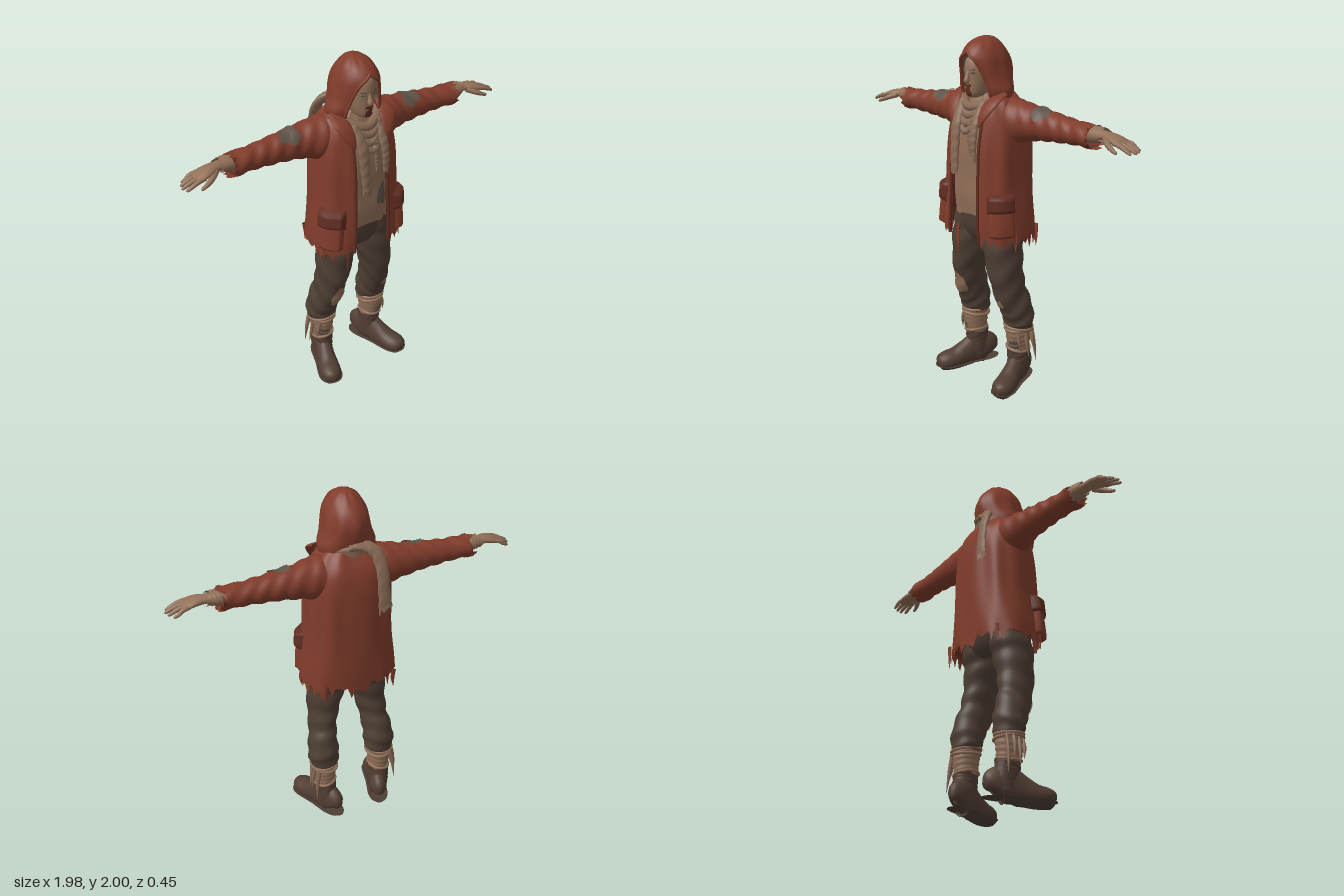
import * as THREE from 'three';
import { mergeVertices } from 'three/addons/utils/BufferGeometryUtils.js';

const V3 = THREE.Vector3, clamp = THREE.MathUtils.clamp, TAU = Math.PI * 2;
const X = new V3(1, 0, 0), Z = new V3(0, 0, 1);
let seed = 7;
const rnd = () => (seed = (seed * 16807) % 2147483647) / 2147483647;

const mat = (name, color) => {
  const m = new THREE.MeshStandardMaterial({ color, side: THREE.DoubleSide });
  m.name = name;
  return m;
};

// Smooth interpolation through rows of numbers
function at(rows, u) {
  const last = rows.length - 1, s = clamp(u, 0, 1) * last, i = Math.min(Math.floor(s), last - 1), f = s - i;
  const g = k => rows[clamp(k, 0, last)];
  return rows[0].map((_, c) => {
    const p = g(i - 1)[c], q = g(i)[c], r = g(i + 1)[c], w = g(i + 2)[c];
    return q + 0.5 * f * (r - p + f * (2 * p - 5 * q + 4 * r - w + f * (3 * (q - r) + w - p)));
  });
}

// Limb surface: rows are [x, y, z, radius along side, radius across]
const limb = (rows, side = X, wrinkle = 0) => (u, t, off = 0) => {
  const [x, y, z, ru, rv] = at(rows, u);
  const T = new V3(...at(rows, u + 0.01)).sub(new V3(...at(rows, u - 0.01))).normalize();
  const v = new V3().crossVectors(side, T).normalize(), s = new V3().crossVectors(T, v);
  const d = off + wrinkle * Math.sin(u * 42 + 2.5 * Math.sin(t + 1) + Math.cos(2 * t));
  return new V3(x, y, z)
    .addScaledVector(s, Math.max(ru + d, 0.001) * Math.sin(t))
    .addScaledVector(v, Math.max(rv + d, 0.001) * Math.cos(t));
};

// Upright surface: rows are [y, half width, front z, back z, half opening]; t = 0 faces front
const shell = (rows, p = 1, fold = 0) => (u, t, off = 0) => {
  const [y, rx, zf, zb] = at(rows, u), s = Math.sin(t), c = Math.cos(t);
  const d = off + fold * Math.sin(9 * t + 3 * u) * Math.sin(2 + 7 * u);
  return new V3((rx + d) * Math.sign(s) * Math.abs(s) ** p, y,
    (zf + zb) / 2 + ((zf - zb) / 2 + d) * Math.sign(c) * Math.abs(c) ** p);
};
const opening = (rows, p) => u => {
  const r = at(rows, u);
  return Math.asin(clamp(r[4] / r[1], 0, 0.95) ** (1 / p));
};

function skin(rings) {
  const w = rings[0].length, index = [];
  for (let i = 0; i < rings.length - 1; i++) for (let j = 0; j < w - 1; j++) {
    const a = i * w + j, d = a + w;
    index.push(a, a + 1, d + 1, a, d + 1, d);
  }
  let g = new THREE.BufferGeometry().setFromPoints(rings.flat());
  g.setIndex(index);
  g = mergeVertices(g, 1e-5);
  g.computeVertexNormals();
  return g;
}

// Samples a surface; rag(point, i, random) can fray or flatten it
function grid(f, { n = 24, seg = 24, a = 0, b = 1, t0 = () => 0, t1 = u => TAU - t0(u), off = () => 0, rag } = {}) {
  const noise = Array.from({ length: seg }, rnd);
  return skin(Array.from({ length: n + 1 }, (_, i) => Array.from({ length: seg + 1 }, (_, j) => {
    const u = a + (b - a) * i / n, k = j / seg;
    const p = f(u, t0(u) + (t1(u) - t0(u)) * k, off(i / n, k));
    if (rag) rag(p, i, noise[j % seg]);
    return p;
  })));
}

// Irregular patch lying just over a surface
const blob = (f, u, t, du, dt, off = 0.005) => skin([0.01, 0.35, 0.7, 1].map(r =>
  Array.from({ length: 25 }, (_, j) => {
    const a = j / 24 * TAU, k = r * (1 + 0.14 * Math.sin(3 * a + 1) + 0.1 * Math.sin(5 * a));
    return f(u + du * k * Math.cos(a), t + dt * k * Math.sin(a), off);
  })));

const tube = (pts, r, closed = false) =>
  new THREE.TubeGeometry(new THREE.CatmullRomCurve3(pts, closed), 48, r, 8, closed);

export function createModel() {
  seed = 7;
  const model = new THREE.Group();
  const coatRed = mat('coat red', 0x803c2b), darkRed = mat('dark red', 0x612d21),
    shirtTan = mat('shirt tan', 0x8f6e57), skinTone = mat('skin', 0x917058), scarfTan = mat('scarf tan', 0x876954),
    trouserBrown = mat('trouser brown', 0x4d3e33), bootBrown = mat('boot brown', 0x523e33),
    patchGrey = mat('patch grey', 0x5f5349), liningBrown = mat('lining brown', 0x69533f);

  const add = (name, geo, m) => {
    const mesh = new THREE.Mesh(geo, m);
    mesh.name = name;
    model.add(mesh);
  };
  const pair = (name, geo, m) => {
    add(name + 'Left', geo, m);
    const g = geo.clone().scale(-1, 1, 1), ix = g.index.array;
    for (let i = 0; i < ix.length; i += 3) [ix[i], ix[i + 1]] = [ix[i + 1], ix[i]];
    add(name + 'Right', g, m);
  };

  // Coat with open front and torn hem
  const coatRows = [[0.92, 0.268, 0.2, -0.19, 0.115], [1.02, 0.262, 0.203, -0.192, 0.11], [1.2, 0.243, 0.195, -0.19, 0.105],
    [1.4, 0.236, 0.183, -0.187, 0.1], [1.52, 0.228, 0.168, -0.18, 0.1], [1.61, 0.207, 0.148, -0.162, 0.1],
    [1.68, 0.165, 0.115, -0.12, 0.1], [1.73, 0.1, 0.08, -0.08, 0.09]];
  const coat = shell(coatRows, 0.75, 0.005), coatEdge = opening(coatRows, 0.75);
  add('coat', grid(coat, { n: 32, seg: 80, t0: coatEdge,
    rag: (p, i, k) => { if (i === 0) p.y += 0.02 - 0.085 * k * k; } }), coatRed);
  add('coatLining', grid(coat, { n: 24, seg: 60, a: 0.02, b: 0.85, t0: coatEdge, off: () => -0.012 }), darkRed);
  const steps = Array.from({ length: 20 }, (_, i) => i / 19);
  pair('coatPlacket', tube(steps.map(k => coat(k * 0.85, coatEdge(k * 0.85))), 0.009), darkRed);

  // Pockets with flaps, and collar points
  const puff = d => (i, j) => d * Math.min(1, 8 * Math.min(i, 1 - i, j, 1 - j)) - 0.006;
  pair('pocket', grid(coat, { n: 16, seg: 16, a: 0.05, b: 0.26, t0: () => 0.6, t1: () => 1.4, off: puff(0.03) }), coatRed);
  pair('pocketFlap', grid(coat, { n: 10, seg: 16, a: 0.2, b: 0.28, t0: () => 0.56, t1: () => 1.44, off: puff(0.042),
    rag: (p, i, k) => { if (i === 0) p.y -= 0.015 * k; } }), darkRed);
  pair('collarFlap', grid(limb([[0.15, 1.71, 0.04, 0.03, 0.012], [0.14, 1.67, 0.12, 0.045, 0.012],
    [0.115, 1.6, 0.165, 0.03, 0.01], [0.1, 1.54, 0.178, 0.002, 0.002]]), { n: 14, seg: 14 }), coatRed);

  // Sleeves with elbow patches and frayed ends
  const sleeve = limb([[0.1, 1.57, -0.015, 0.11, 0.11], [0.2, 1.565, -0.025, 0.105, 0.115], [0.3, 1.567, -0.035, 0.085, 0.094],
    [0.4, 1.568, -0.035, 0.076, 0.08], [0.5, 1.566, -0.035, 0.068, 0.07], [0.6, 1.564, -0.033, 0.066, 0.061],
    [0.71, 1.563, -0.03, 0.074, 0.06]], Z, 0.0035);
  pair('sleeve', grid(sleeve, { n: 44, seg: 32, rag: (p, i, k) => { if (i === 44) p.x += 0.05 * k - 0.02; } }), coatRed);
  pair('sleevePatch', blob(sleeve, 0.47, 0.45, 0.085, 0.75, 0.006), patchGrey);
  pair('sleeveLining', grid(sleeve, { n: 6, seg: 24, a: 0.85, off: () => -0.008 }), darkRed);

  // Wrist wraps and hands
  pair('wristWrap', grid(limb([[0.66, 1.572, -0.033, 0.045, 0.04], [0.72, 1.577, -0.035, 0.05, 0.042],
    [0.77, 1.58, -0.033, 0.044, 0.035]], Z, 0.003),
  { n: 12, rag: (p, i, k) => { if (i === 12) p.x += 0.03 * k - 0.01; } }), shirtTan);
  pair('palm', grid(limb([[0.72, 1.58, -0.033, 0.034, 0.026], [0.79, 1.58, -0.03, 0.034, 0.023], [0.83, 1.578, -0.024, 0.045, 0.023],
    [0.87, 1.57, -0.02, 0.052, 0.019], [0.905, 1.558, -0.018, 0.045, 0.012], [0.912, 1.555, -0.018, 0.002, 0.002]], Z), {}), skinTone);
  [[-0.058, 0.955], [-0.03, 0.975], [-0.003, 0.983], [0.023, 0.972]].forEach(([z, tip], i) =>
    pair('finger' + (i + 1), grid(limb([[0.87, 1.568, z, 0.013, 0.012], [0.91, 1.56, z * 1.1, 0.012, 0.012],
      [tip - 0.025, 1.545, z * 1.15, 0.011, 0.01], [tip, 1.533, z * 1.15, 0.007, 0.007], [tip + 0.004, 1.53, z * 1.15, 0.001, 0.001]], Z),
    { n: 12, seg: 10 }), skinTone));
  pair('thumb', grid(limb([[0.8, 1.572, 0, 0.016, 0.016], [0.84, 1.557, 0.03, 0.016, 0.015],
    [0.875, 1.542, 0.045, 0.012, 0.012], [0.905, 1.53, 0.05, 0.008, 0.008], [0.91, 1.528, 0.05, 0.001, 0.001]], Z), { n: 12, seg: 10 }), skinTone);

  // Shirt with stain, waist
  const shirt = shell([[1.04, 0.2, 0.15, -0.15], [1.14, 0.2, 0.158, -0.15], [1.25, 0.195, 0.155, -0.15], [1.4, 0.195, 0.158, -0.15],
    [1.55, 0.17, 0.14, -0.13], [1.66, 0.11, 0.1, -0.09], [1.72, 0.06, 0.08, -0.05]], 0.8, 0.004);
  add('shirt', grid(shirt, { n: 28, seg: 48, rag: (p, i, k) => { if (i === 0) p.y += 0.03 * k - 0.02; } }), shirtTan);
  add('shirtStain', blob(shirt, 0.26, 0.38, 0.1, 0.16), patchGrey);
  add('trouserWaist', grid(shell([[0.86, 0.05, 0.06, -0.06], [0.9, 0.15, 0.11, -0.11], [0.98, 0.205, 0.138, -0.14],
    [1.1, 0.195, 0.142, -0.14]], 0.9), { n: 14, seg: 32 }), trouserBrown);

  // Trouser legs with knee patches
  const leg = limb([[0.178, 0.355, -0.058, 0.07, 0.07], [0.178, 0.4, -0.06, 0.09, 0.082], [0.176, 0.48, -0.045, 0.086, 0.094],
    [0.163, 0.58, -0.008, 0.078, 0.1], [0.148, 0.7, 0.015, 0.088, 0.107], [0.127, 0.84, 0.018, 0.108, 0.115],
    [0.112, 0.95, 0.005, 0.11, 0.125], [0.1, 1.06, 0, 0.1, 0.13]], X, 0.004);
  pair('trouserLeg', grid(leg, { n: 44, seg: 32 }), trouserBrown);
  add('kneePatchLeft', blob(leg, 0.405, 0.1, 0.025, 0.25), shirtTan);
  const bigPatch = blob((u, t, o) => leg(u, t, o).multiply(new V3(-1, 1, 1)), 0.445, -0.1, 0.075, 0.55);
  add('kneePatchRight', bigPatch, shirtTan);

  // Shin wraps, ties and dangling strips
  const wrap = limb([[0.174, 0.17, -0.065, 0.054, 0.062], [0.176, 0.24, -0.062, 0.058, 0.066],
    [0.178, 0.31, -0.06, 0.066, 0.075], [0.178, 0.375, -0.058, 0.072, 0.077]], X, 0.003);
  pair('shinWrap', grid(wrap, { n: 20 }), shirtTan);
  pair('shinPatch', blob(wrap, 0.48, 0.5, 0.13, 0.6), patchGrey);
  pair('ankleBand', grid(wrap, { n: 6, a: 0, b: 0.25, off: () => 0.005,
    rag: (p, i, k) => { if (i === 6) p.y += 0.03 * k - 0.01; } }), bootBrown);
  for (const u of [0.3, 0.82, 0.93])
    pair('wrapTie', tube(Array.from({ length: 12 }, (_, j) => {
      const t = j / 12 * TAU, p = wrap(u, t, 0.004);
      p.y += 0.012 * Math.sin(t + u * 9);
      return p;
    }), 0.008, true), shirtTan);
  [[0.245, -0.05, 0.19], [0.25, -0.09, 0.22], [0.235, -0.12, 0.14], [0.225, -0.005, 0.23]].forEach(([x, z, y]) =>
    pair('wrapStrip', grid(limb([[x - 0.01, 0.36, z, 0.012, 0.005], [x + 0.01, (0.36 + y) / 2, z, 0.011, 0.01],
      [x + 0.02, y, z - 0.01, 0.001, 0.001]]), { n: 8, seg: 8 }), scarfTan));

  // Boots, turned outward
  const foot = limb([[0, 0.06, -0.088, 0.01, 0.02], [0, 0.075, -0.08, 0.04, 0.065], [0, 0.095, -0.05, 0.053, 0.095],
    [0, 0.1, 0.01, 0.054, 0.1], [0, 0.08, 0.08, 0.055, 0.08], [0, 0.06, 0.15, 0.062, 0.062], [0, 0.054, 0.21, 0.062, 0.054],
    [0, 0.045, 0.252, 0.043, 0.042], [0, 0.04, 0.268, 0.004, 0.01]], new V3(-1, 0, 0));
  const place = g => g.rotateY(0.33).translate(0.17, 0, -0.07);
  pair('bootFoot', place(grid(foot, { n: 32, rag: p => { p.y = Math.max(p.y, 0.018); } })), bootBrown);
  pair('bootSole', place(grid(foot, { n: 32, off: () => 0.007, rag: p => {
    p.y = clamp(p.y, p.z > -0.02 && p.z < 0.05 ? 0.012 : 0, 0.03);
  } })), trouserBrown);
  pair('bootShaft', grid(limb([[0.17, 0.06, -0.07, 0.054, 0.068], [0.172, 0.13, -0.07, 0.058, 0.074],
    [0.174, 0.19, -0.068, 0.058, 0.07], [0.174, 0.225, -0.066, 0.06, 0.07]], X, 0.003), { n: 14 }), bootBrown);

  // Head and face
  const head = shell([[1.682, 0.012, 0.13, 0.08], [1.7, 0.046, 0.148, 0], [1.74, 0.064, 0.155, -0.04], [1.79, 0.074, 0.157, -0.06],
    [1.84, 0.076, 0.158, -0.06], [1.89, 0.064, 0.14, -0.05], [1.925, 0.008, 0.07, 0.03]], 0.92);
  add('head', grid(head, { n: 28, seg: 32 }), skinTone);
  add('neck', new THREE.CylinderGeometry(0.055, 0.06, 0.16, 20).translate(0, 1.68, 0.03), skinTone);
  add('nose', grid(limb([[0, 1.83, 0.15, 0.007, 0.008], [0, 1.8, 0.16, 0.011, 0.012], [0, 1.775, 0.167, 0.017, 0.015],
    [0, 1.763, 0.155, 0.004, 0.004]]), { n: 12, seg: 12 }), skinTone);
  pair('eye', blob(head, 0.59, 0.42, 0.018, 0.16, 0.002), patchGrey);
  pair('eyebrow', blob(head, 0.65, 0.42, 0.015, 0.22, 0.005), liningBrown);
  pair('moustache', blob(head, 0.37, 0.14, 0.025, 0.2, 0.006), darkRed);
  add('beard', blob(head, 0.21, 0, 0.13, 0.36, 0.006), darkRed);

  // Hood with lining and thick rim
  const hoodRows = [[1.66, 0.145, 0.11, -0.1, 0.1], [1.72, 0.16, 0.135, -0.105, 0.108], [1.78, 0.138, 0.16, -0.12, 0.095],
    [1.84, 0.123, 0.178, -0.127, 0.078], [1.89, 0.112, 0.178, -0.113, 0.05], [1.93, 0.095, 0.16, -0.088, 0],
    [1.965, 0.071, 0.125, -0.055, 0], [1.99, 0.038, 0.075, -0.02, 0], [2.0, 0.003, 0.025, 0.018, 0]];
  const hood = shell(hoodRows, 1, 0.003), hoodEdge = opening(hoodRows, 1);
  add('hood', grid(hood, { n: 36, seg: 48, t0: hoodEdge }), coatRed);
  add('hoodLining', grid(hood, { n: 30, seg: 40, b: 0.9, t0: hoodEdge, off: () => -0.011 }), liningBrown);
  const rim = steps.map(k => hood(k * 0.625, hoodEdge(k * 0.625), -0.004));
  add('hoodRim', tube([...rim, ...rim.slice(0, -1).reverse().map(p => new V3(-p.x, p.y, p.z))], 0.009), coatRed);

  // Scarf loops, front tails and the tail thrown over the back
  for (let k = 0; k < 4; k++) {
    const side = [[0.105, 1.705, -0.03], [0.1 - 0.006 * k, 1.67 - 0.022 * k, 0.085 + 0.01 * k]];
    add('scarfLoop', tube([new V3(0, 1.72 - 0.012 * k, -0.1), ...side.map(p => new V3(...p)),
      new V3(0.008 * (k % 2), 1.635 - 0.042 * k, 0.14 + 0.014 * k),
      ...side.reverse().map(([x, y, z]) => new V3(-x, y, z))], 0.026 - 0.002 * k, true), scarfTan);
  }
  const tails = [
    [[-0.075, 1.66, 0.12, 0.025, 0.02], [-0.06, 1.55, 0.185, 0.032, 0.016], [-0.055, 1.42, 0.205, 0.03, 0.016], [-0.05, 1.3, 0.215, 0.026, 0.012]],
    [[0.075, 1.66, 0.12, 0.022, 0.02], [0.075, 1.56, 0.18, 0.024, 0.014], [0.08, 1.47, 0.198, 0.022, 0.014], [0.082, 1.39, 0.2, 0.018, 0.01]],
    [[0.03, 1.56, 0.175, 0.014, 0.012], [0.035, 1.47, 0.18, 0.014, 0.01], [0.04, 1.4, 0.18, 0.01, 0.006]],
    [[0.04, 1.73, -0.1, 0.03, 0.02], [-0.05, 1.73, -0.12, 0.034, 0.022], [-0.1, 1.69, -0.15, 0.036, 0.02],
      [-0.115, 1.6, -0.187, 0.034, 0.014], [-0.118, 1.49, -0.202, 0.034, 0.013], [-0.125, 1.4, -0.21, 0.04, 0.012]]];
  tails.forEach(rows => add('scarfTail', grid(limb(rows, X, 0.002), { n: 22, seg: 16,
    rag: (p, i, k) => { if (i === 22) p.y -= 0.05 * k - 0.01; } }), scarfTan));

  // Loose torn strips under the hem
  [[-0.12, 0.13, 0.76], [0.255, 0.05, 0.85], [-0.25, 0.1, 0.87], [0.2, -0.17, 0.83], [-0.21, -0.165, 0.85]].forEach(([x, z, y]) =>
    add('hemStrip', grid(limb([[x, 0.96, z, 0.014, 0.006], [x + 0.004, (0.96 + y) / 2, z + 0.004, 0.012, 0.005],
      [x, y, z, 0.001, 0.001]]), { n: 8, seg: 8 }), coatRed));

  return model;
}
